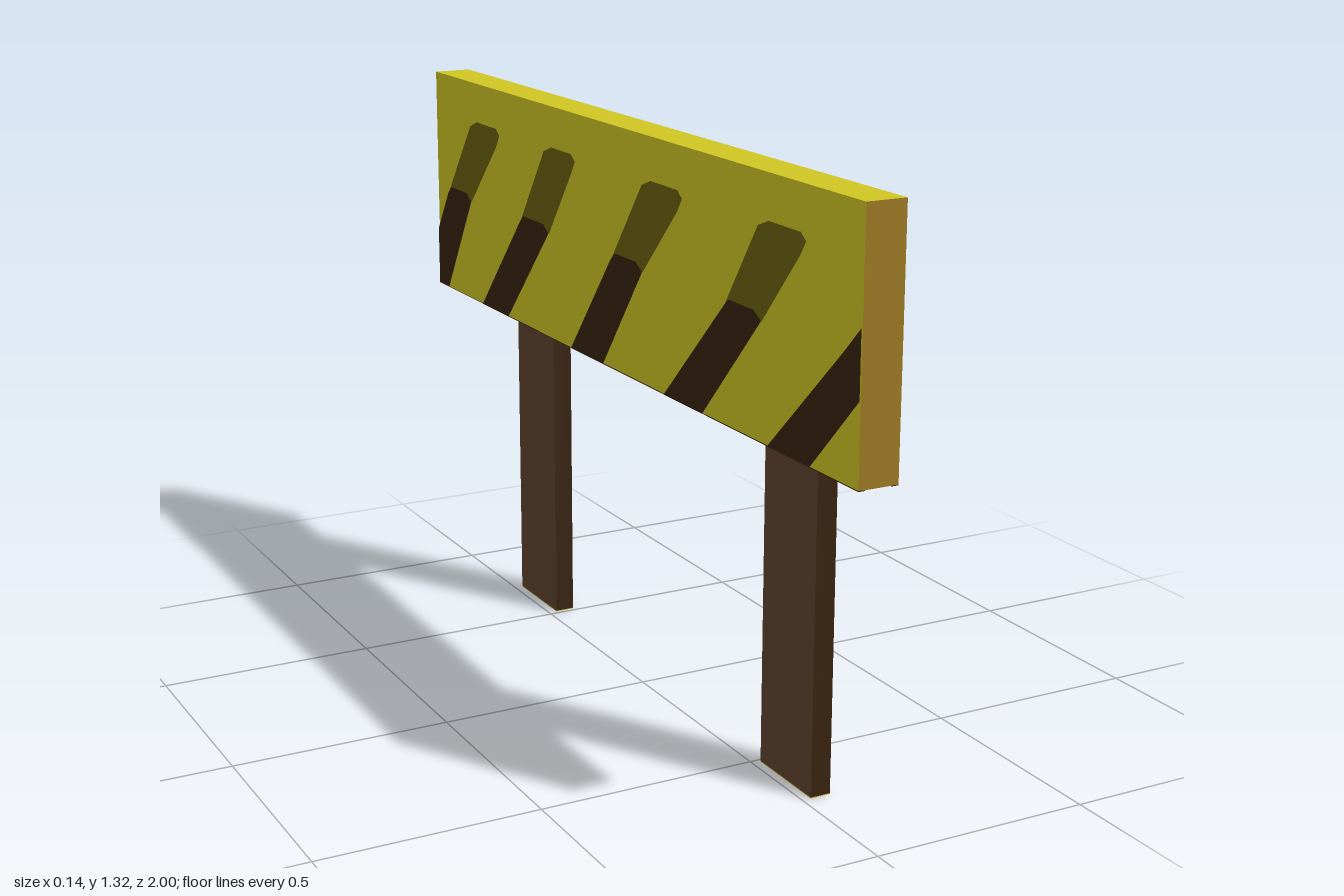
import * as THREE from 'three';

const mat = (name, color) => {
  const m = new THREE.MeshStandardMaterial({ color });
  m.name = name;
  return m;
};

export function createModel() {
  const yellow = mat('yellow paint', 0xd0c624);
  const olive = mat('faded stripe', 0x6c620f);
  const dark = mat('dark brown', 0x38230f);
  const brown = mat('post wood', 0x60432e);
  const gold = mat('board end', 0x9c7922);

  const model = new THREE.Group();
  model.name = 'roadBarrier';
  const add = (parent, name, geometry, material) => {
    const mesh = new THREE.Mesh(geometry, material);
    mesh.name = name;
    parent.add(mesh);
    return mesh;
  };

  // Board with yellow faces and gold ends
  const low = 0.77, high = 1.32, boardX = -0.025, thick = 0.09;
  add(model, 'board', new THREE.BoxGeometry(thick, high - low, 2),
    [yellow, yellow, yellow, yellow, gold, gold]).position.set(boardX, (low + high) / 2, 0);

  // Dark worn edges under the board
  for (const s of [-1, 1]) {
    add(model, 'lowerEdge', new THREE.BoxGeometry(0.016, 0.002, 2), dark)
      .position.set(boardX + s * 0.037, low - 0.0005, 0);
  }

  // Full slanted stripes: left and right at the bottom, middle and top
  const darkShapes = [], oliveShapes = [];
  const shape = (points) => new THREE.Shape(points.map(([x, y]) => new THREE.Vector2(x, y)));
  const tops = [
    [-0.93, -0.785, -0.785, -0.61],
    [-0.495, -0.335, -0.36, -0.195],
    [-0.015, 0.135, 0.13, 0.31],
    [0.49, 0.64, 0.62, 0.80],
  ];
  const bottoms = [null, [-0.725, -0.57], [-0.22, -0.055], [0.235, 0.405]];
  tops.forEach(([ml, mr, tl, tr], i) => {
    const crown = [[mr, 1.02], [mr - 0.03, 1.037], [ml + 0.02, 1.037], [ml, 1.02]];
    oliveShapes.push(shape([[ml, 1.02], ...crown.slice(0, 1), [tr - 0.02, 1.18], [tr, 1.21],
      [tr - 0.02, 1.225], [tl + 0.04, 1.225], [tl, 1.21]]));
    const base = bottoms[i]
      ? [[bottoms[i][0], low], [bottoms[i][1], low], ...crown]
      : [[-1, low], [-0.94, low], ...crown, [-1, 0.915]];
    darkShapes.push(shape(base));
  });
  // Last stripe runs off the end of the board
  darkShapes.push(shape([[0.67, low], [0.83, low], [1, 0.945], [1, 1.085], [0.94, 1.025]]));

  // Same stripes on both broad faces
  for (const side of [1, -1]) {
    const face = new THREE.Group();
    face.name = side > 0 ? 'leftStripes' : 'rightStripes';
    face.rotation.y = side * Math.PI / 2;
    face.position.x = boardX + side * thick / 2;
    add(face, 'fadedStripes', new THREE.ShapeGeometry(oliveShapes), olive).position.z = 0.0015;
    add(face, 'darkStripes', new THREE.ShapeGeometry(darkShapes), dark).position.z = 0.003;
    model.add(face);
  }

  // Posts with sloped tops, dark sides and pale cut feet
  const profile = shape([[0.02, 0.002], [0.067, 0.002], [0.067, 1.24], [0.02, 1.32]]);
  for (const z of [-0.613, 0.613]) {
    const post = new THREE.Group();
    post.name = z > 0 ? 'frontPost' : 'backPost';
    post.position.z = z;
    const geometry = new THREE.ExtrudeGeometry(profile, { depth: 0.206, bevelEnabled: false });
    add(post, 'postBody', geometry, [dark, brown]).position.z = -0.103;
    const foot = add(post, 'postFoot', new THREE.BoxGeometry(0.047, 0.002, 0.206), yellow);
    foot.position.set(0.0435, 0.001, 0);
    model.add(post);
  }
  return model;
}
